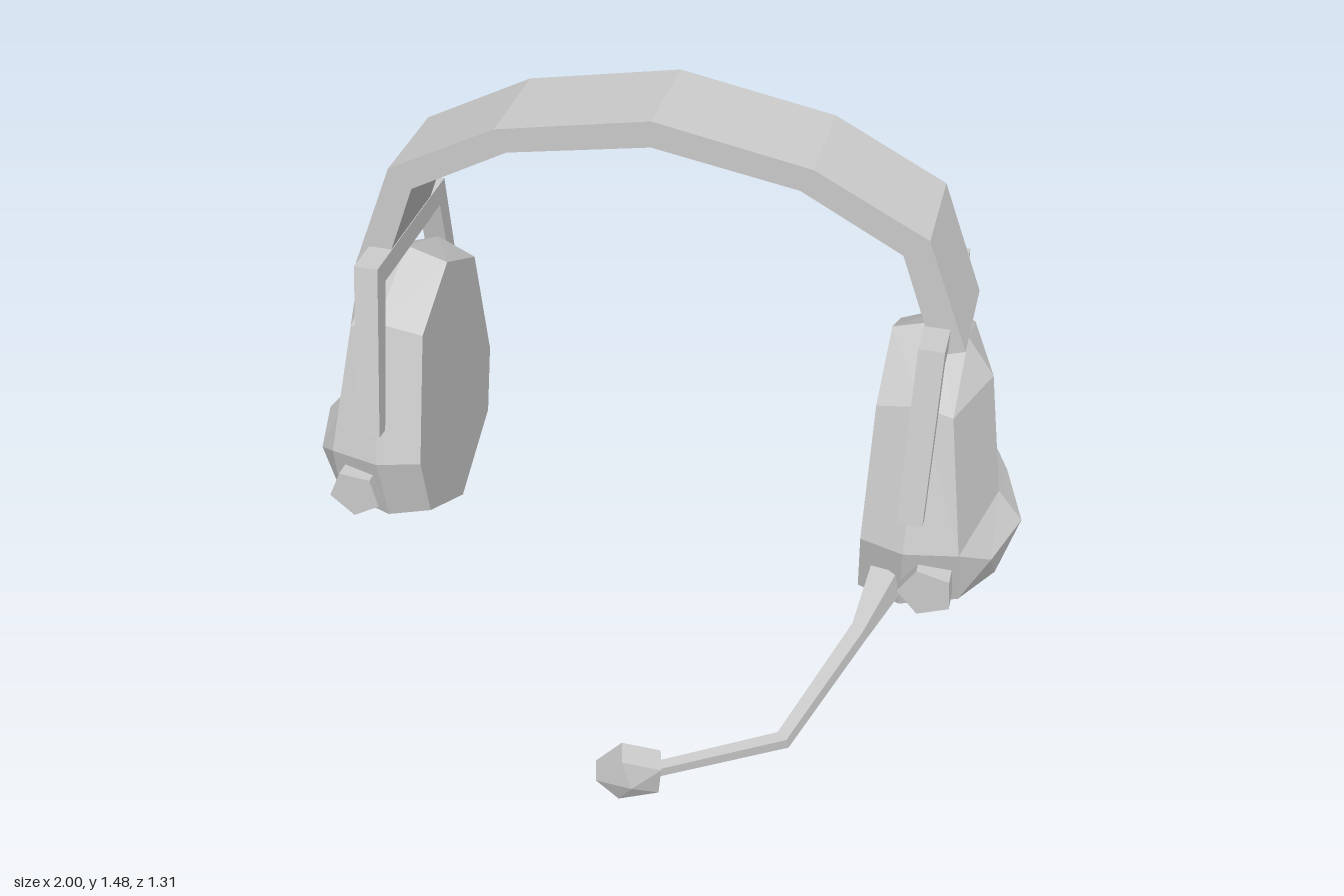
import * as THREE from 'three';

const material = new THREE.MeshStandardMaterial({ color: 0xcccccc, flatShading: true });
const CZ = -0.32; // centre plane of band and ear cups

function part(name, geometry) {
  const mesh = new THREE.Mesh(geometry, material);
  mesh.name = name;
  return mesh;
}

function extrude(points, depth) {
  const shape = new THREE.Shape(points.map(([x, y]) => new THREE.Vector2(x, y)));
  return new THREE.ExtrudeGeometry(shape, { depth, bevelEnabled: false });
}

// Faceted ear cup: half rings (top to bottom) mirrored in z, closed by a raised spine
function earCup(s) {
  const rings = [
    [[0.605, 0.915, 0], [0.605, 0.81, 0.21], [0.605, 0.445, 0.295], [0.605, 0.25, 0.25], [0.605, 0.115, 0]],
    [[0.72, 0.95, 0], [0.72, 0.845, 0.235], [0.72, 0.445, 0.33], [0.72, 0.235, 0.28], [0.72, 0.075, 0]],
    [[0.8, 0.915, 0], [0.8, 0.82, 0.23], [0.86, 0.445, 0.3], [0.87, 0.265, 0.255], [0.95, 0.165, 0]],
  ];
  const [inner, , outer] = rings;
  const crown = [0.875, 0.81, 0], ridge = [0.93, 0.445, 0], apex = [1, 0.36, 0], cheek = [0.94, 0.37, 0.2];
  const [top, shoulder, wide, low, bottom] = outer;
  const tris = [
    [top, shoulder, crown], [crown, shoulder, ridge], [shoulder, wide, ridge], [wide, cheek, ridge],
    [ridge, cheek, apex], [wide, low, cheek], [cheek, low, bottom], [cheek, bottom, apex],
  ];
  for (let r = 0; r < 2; r++) {
    for (let i = 0; i < 4; i++) {
      const a = rings[r][i], b = rings[r][i + 1], c = rings[r + 1][i + 1], d = rings[r + 1][i];
      tris.push([a, b, c], [a, c, d]);
    }
  }
  for (let i = 1; i < 4; i++) tris.push([inner[0], inner[i], inner[i + 1]]);

  const positions = [];
  const middle = new THREE.Vector3(s * 0.75, 0.48, CZ);
  for (const m of [1, -1]) {
    for (const tri of tris) {
      const [a, b, c] = tri.map(([x, y, z]) => new THREE.Vector3(s * x, y, CZ + m * z));
      const n = b.clone().sub(a).cross(c.clone().sub(a));
      const outward = n.dot(a.clone().sub(middle)) > 0;
      for (const v of outward ? [a, b, c] : [a, c, b]) positions.push(v.x, v.y, v.z);
    }
  }
  const g = new THREE.BufferGeometry();
  g.setAttribute('position', new THREE.Float32BufferAttribute(positions, 3));
  g.computeVertexNormals();
  return g;
}

// Square-section arm through [x, y, z, halfSize] stations
function squareArm(stations) {
  const first = new THREE.Vector3(...stations[0]), last = new THREE.Vector3(...stations.at(-1));
  const dir = last.sub(first).normalize();
  const side = dir.clone().cross(new THREE.Vector3(0, 1, 0)).normalize();
  const up = side.clone().cross(dir);
  const positions = [], index = [];
  stations.forEach(([x, y, z, h], i) => {
    for (const [u, w] of [[1, 1], [-1, 1], [-1, -1], [1, -1]]) {
      const p = new THREE.Vector3(x, y, z).addScaledVector(up, u * h).addScaledVector(side, w * h);
      positions.push(p.x, p.y, p.z);
    }
    if (i === 0) return;
    for (let j = 0; j < 4; j++) {
      const k = (j + 1) % 4, a = 4 * (i - 1), b = 4 * i;
      index.push(a + j, a + k, b + k, a + j, b + k, b + j);
    }
  });
  const e = 4 * (stations.length - 1);
  index.push(0, 2, 1, 0, 3, 2, e, e + 1, e + 2, e, e + 2, e + 3);
  const g = new THREE.BufferGeometry();
  g.setAttribute('position', new THREE.Float32BufferAttribute(positions, 3));
  g.setIndex(index);
  g.computeVertexNormals();
  return g;
}

export function createModel() {
  const group = new THREE.Group();

  // Headband arch
  const outerArc = [[0.805, 0.967], [0.69, 1.265], [0.4, 1.415], [0, 1.49]];
  const innerArc = [[0, 1.42], [0.37, 1.355], [0.63, 1.215], [0.73, 0.942]];
  const flip = (pts) => pts.map(([x, y]) => [-x, y]).reverse();
  const arch = [...outerArc, ...flip(outerArc).slice(1), ...flip(innerArc), ...innerArc.slice(1)];
  const band = extrude(arch, 0.295);
  band.translate(0, 0, CZ - 0.1475);
  group.add(part('headband', band));

  for (const s of [1, -1]) {
    const label = s > 0 ? 'left' : 'right';
    group.add(part(label + 'EarCup', earCup(s)));

    // Fork that carries the cup
    const leg = [[0.34, 0.55], [0.253, 1.025]], inside = [[0.207, 0.965], [0.296, 0.545]];
    const fork = extrude([...leg, ...flip(leg), ...flip(inside), ...inside], 0.065);
    fork.rotateY(-Math.PI / 2);
    fork.translate(s * 0.73 + 0.0325, 0, CZ);
    group.add(part(label + 'Fork', fork));

    // Five-sided knobs, front and back
    for (const m of [1, -1]) {
      const start = THREE.MathUtils.degToRad(s > 0 ? 59 : 67);
      const knob = new THREE.CylinderGeometry(0.075, 0.075, 0.07, 5, 1, false, start);
      knob.rotateX(Math.PI / 2);
      knob.translate(s * 0.79, 0.337, CZ + m * 0.305);
      group.add(part(label + (m > 0 ? 'Front' : 'Back') + 'Knob', knob));
    }
  }

  // Microphone boom and capsule
  group.add(part('microphoneBoom', squareArm([
    [0.68, 0.32, -0.04, 0.042], [0.64, 0.265, 0.13, 0.02], [0.51, 0.145, 0.44, 0.017], [0.19, 0.095, 0.59, 0.015],
  ])));
  const profile = [[0, -0.05], [0.088, -0.035], [0.088, 0.022], [0, 0.045]].map(([x, y]) => new THREE.Vector2(x, y));
  const capsule = new THREE.LatheGeometry(profile, 5, THREE.MathUtils.degToRad(123));
  capsule.rotateX(Math.PI / 2);
  capsule.rotateX(0.2);
  capsule.rotateY(0.28);
  capsule.translate(0.16, 0.092, 0.6);
  group.add(part('microphone', capsule));

  return group;
}
